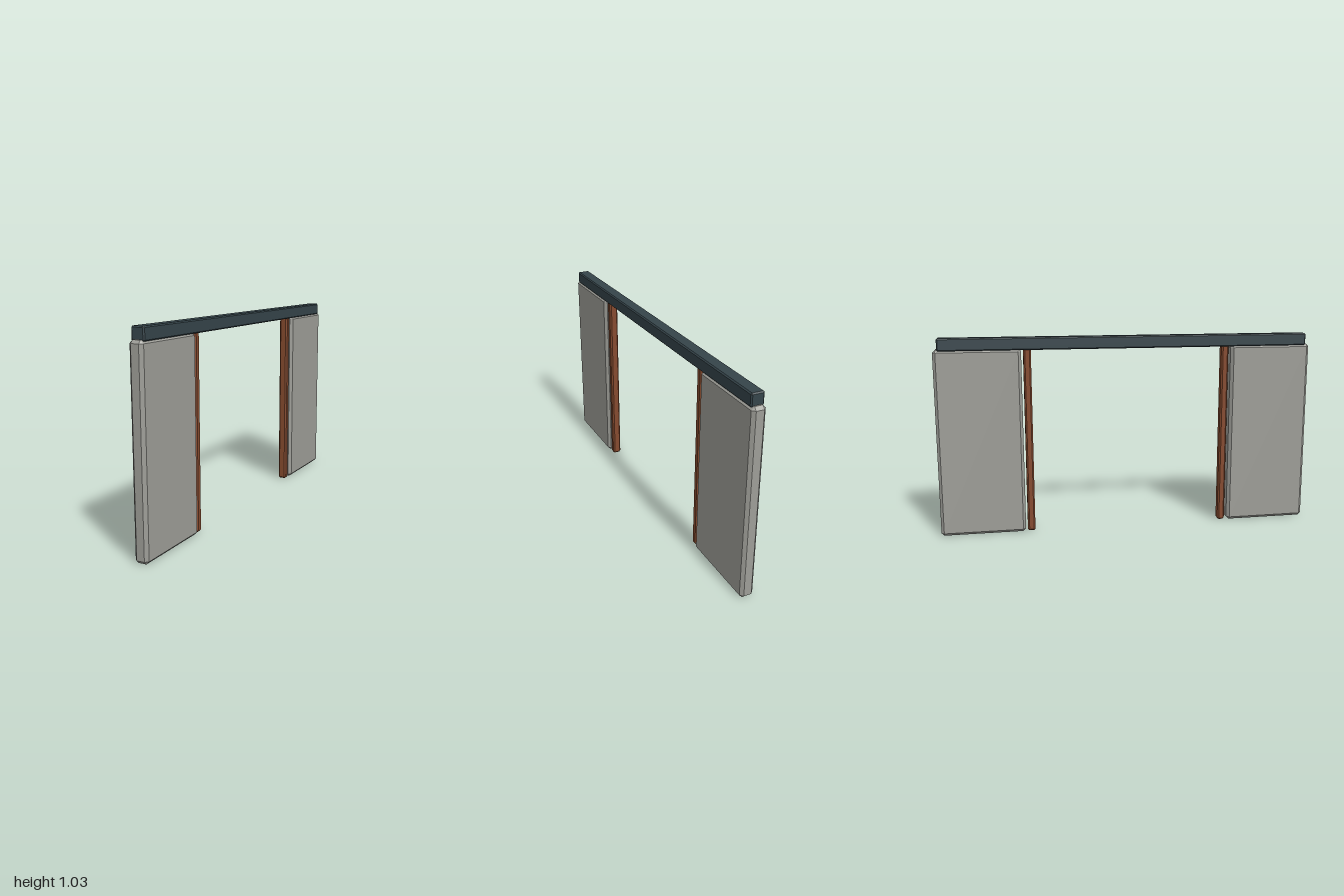
import * as THREE from 'three';
import { ConvexGeometry } from 'three/addons/geometries/ConvexGeometry.js';

// Box with all edges and corners cut by a flat chamfer c
function chamferBox(w, h, d, c) {
  const points = [];
  for (const sx of [-1, 1]) for (const sy of [-1, 1]) for (const sz of [-1, 1]) {
    const x = w / 2, y = h / 2, z = d / 2;
    points.push(
      new THREE.Vector3(sx * x, sy * (y - c), sz * (z - c)),
      new THREE.Vector3(sx * (x - c), sy * y, sz * (z - c)),
      new THREE.Vector3(sx * (x - c), sy * (y - c), sz * z),
    );
  }
  return new ConvexGeometry(points);
}

export function createModel() {
  const group = new THREE.Group();
  const material = (color) => new THREE.MeshStandardMaterial({ color, flatShading: true });
  const stone = material(0x9e9e98);
  const wood = material(0x854a2e);
  const steel = material(0x35444a);

  // Place a chamfered box from its y and z ranges, centred on x = 0
  const add = (name, mat, width, [y0, y1], [z0, z1], chamfer) => {
    const mesh = new THREE.Mesh(chamferBox(width, y1 - y0, Math.abs(z1 - z0), chamfer), mat);
    mesh.position.set(0, (y0 + y1) / 2, (z0 + z1) / 2);
    mesh.name = name;
    group.add(mesh);
  };

  // Wall panels and door posts, mirrored front to back
  for (const [side, s] of [['front', 1], ['back', -1]]) {
    add(side + 'WallPanel', stone, 0.07, [0, 0.978], [s * 0.558, s], 0.015);
    add(side + 'DoorPost', wood, 0.046, [0, 0.978], [s * 0.508, s * 0.547], 0.008);
  }

  // Lintel beam across the top
  add('lintelBeam', steel, 0.066, [0.97, 1.035], [-0.978, 0.978], 0.006);

  return group;
}
